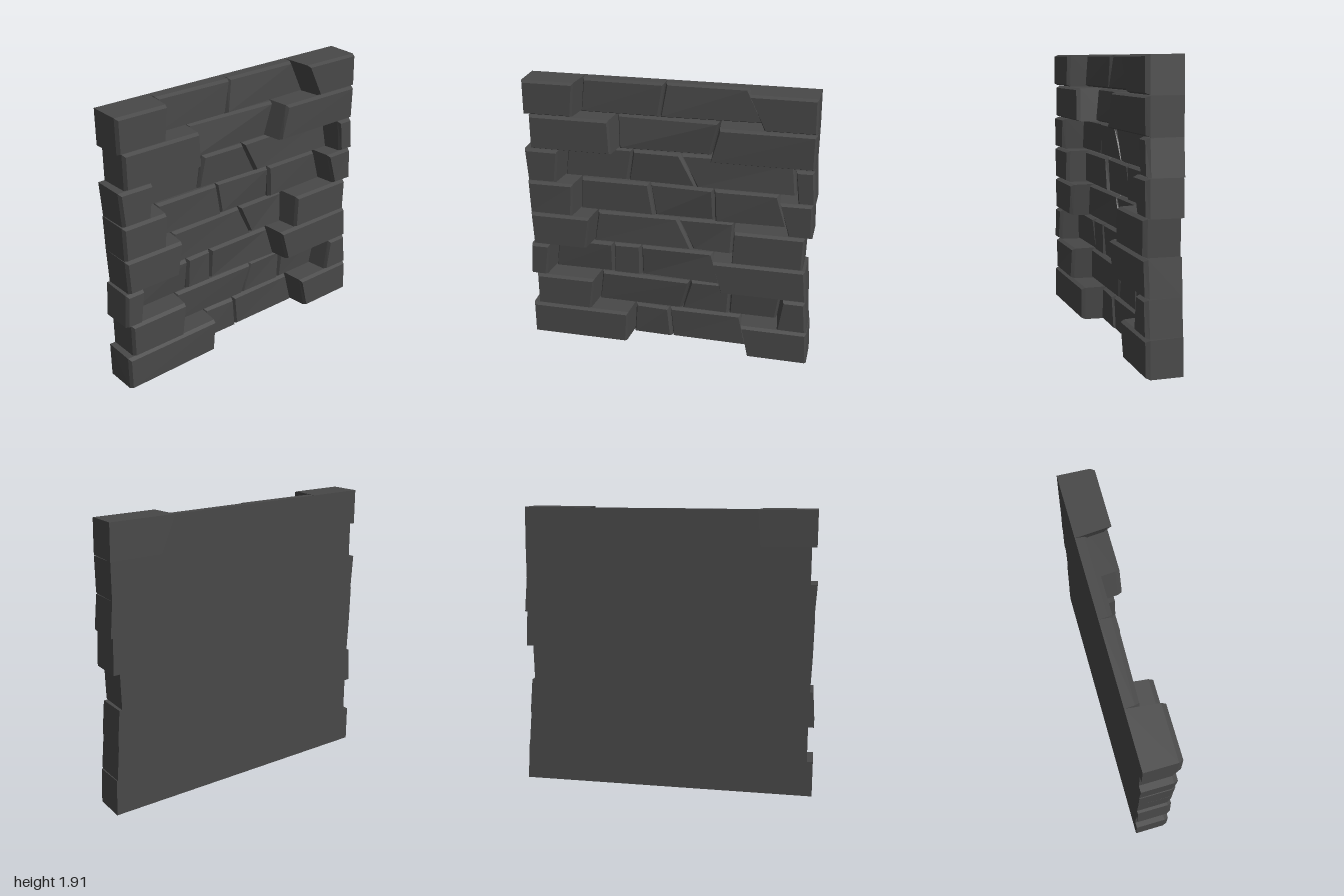
import * as THREE from 'three';

const BACK = -0.12, FRONT = 0.12;
const seams = [0, 0.245, 0.485, 0.725, 0.965, 1.205, 1.44, 1.68, 1.915];

// Per course, from the ground up: wall ends and slanted joints as [x at bottom, x at top].
// The first and last brick of each course stand proud of the recessed middle.
const courses = [
  [[-1, -1], [-0.28, -0.265], [0.01, -0.01], [0.56, 0.51], [1, 0.99]],
  [[-0.96, -0.96], [-0.54, -0.51], [0.08, 0.14], [0.42, 0.43], [0.76, 0.79], [0.985, 0.965]],
  [[-1, -0.985], [-0.86, -0.83], [-0.42, -0.415], [-0.215, -0.215], [0.36, 0.3], [0.97, 0.95]],
  [[-0.965, -0.975], [-0.56, -0.525], [0.15, 0.05], [0.43, 0.44], [0.93, 0.935]],
  [[-0.975, -0.98], [-0.65, -0.635], [-0.115, -0.15], [0.305, 0.295], [0.8, 0.735], [0.98, 0.97]],
  [[-0.975, -0.99], [-0.755, -0.73], [-0.3, -0.265], [0.175, 0.07], [0.85, 0.825], [0.985, 0.965]],
  [[-0.945, -0.945], [-0.36, -0.37], [0.27, 0.325], [0.965, 0.965]],
  [[-0.98, -0.98], [-0.62, -0.6], [-0.075, -0.04], [0.61, 0.51], [0.965, 0.96]],
];

// Seeded noise for the uneven recessed faces
let seed = 7;
const rand = () => (seed = (seed * 16807) % 2147483647) / 2147483647;

// Brick from three four-corner rings: back, start of the bevel, front face
function brickGeometry(l, r, y0, y1, insetL, insetR, depths) {
  const ring = (k, dl, dr, dy, z) => [
    [l[0] + dl, y0 + dy, z[0]], [r[0] - dr, y0 + dy, z[1]],
    [r[1] - dr, y1 - dy, z[2]], [l[1] + dl, y1 - dy, z[3]],
  ];
  const rings = [
    ring(0, 0, 0, 0, [BACK, BACK, BACK, BACK]),
    ring(1, insetL[0], insetR[0], 0.003, depths.map((z) => z - 0.028)),
    ring(2, insetL[1], insetR[1], 0.015, depths),
  ];
  const index = [2, 1, 0, 3, 2, 0, 8, 9, 10, 8, 10, 11];
  for (let k = 0; k < 2; k++) {
    for (let i = 0; i < 4; i++) {
      const a = k * 4 + i, b = k * 4 + ((i + 1) % 4);
      index.push(a, b, b + 4, a, b + 4, a + 4);
    }
  }
  const g = new THREE.BufferGeometry();
  g.setAttribute('position', new THREE.Float32BufferAttribute(rings.flat(2), 3));
  g.setIndex(index);
  const flat = g.toNonIndexed();
  flat.computeVertexNormals();
  return flat;
}

export function createModel() {
  const wall = new THREE.Group();
  wall.name = 'brickWall';
  const stone = new THREE.MeshStandardMaterial({ color: 0x484848 });
  stone.name = 'darkStone';

  courses.forEach((joints, row) => {
    const course = new THREE.Group();
    course.name = `course${row + 1}`;
    const last = joints.length - 2;
    for (let i = 0; i <= last; i++) {
      const proud = i === 0 || i === last;
      const bevel = [0.004, 0.016];
      const taper = [0.02, 0.028]; // sloped inner side of a proud brick
      const depths = [0, 1, 2, 3].map(() => (proud ? FRONT - 0.004 * rand() : -0.01 - 0.03 * rand()));
      const mesh = new THREE.Mesh(
        brickGeometry(joints[i], joints[i + 1], seams[row], seams[row + 1],
          i === last ? taper : bevel, i === 0 ? taper : bevel, depths),
        stone,
      );
      mesh.name = proud ? 'proudBrick' : 'recessedBrick';
      course.add(mesh);
    }
    wall.add(course);
  });
  return wall;
}
